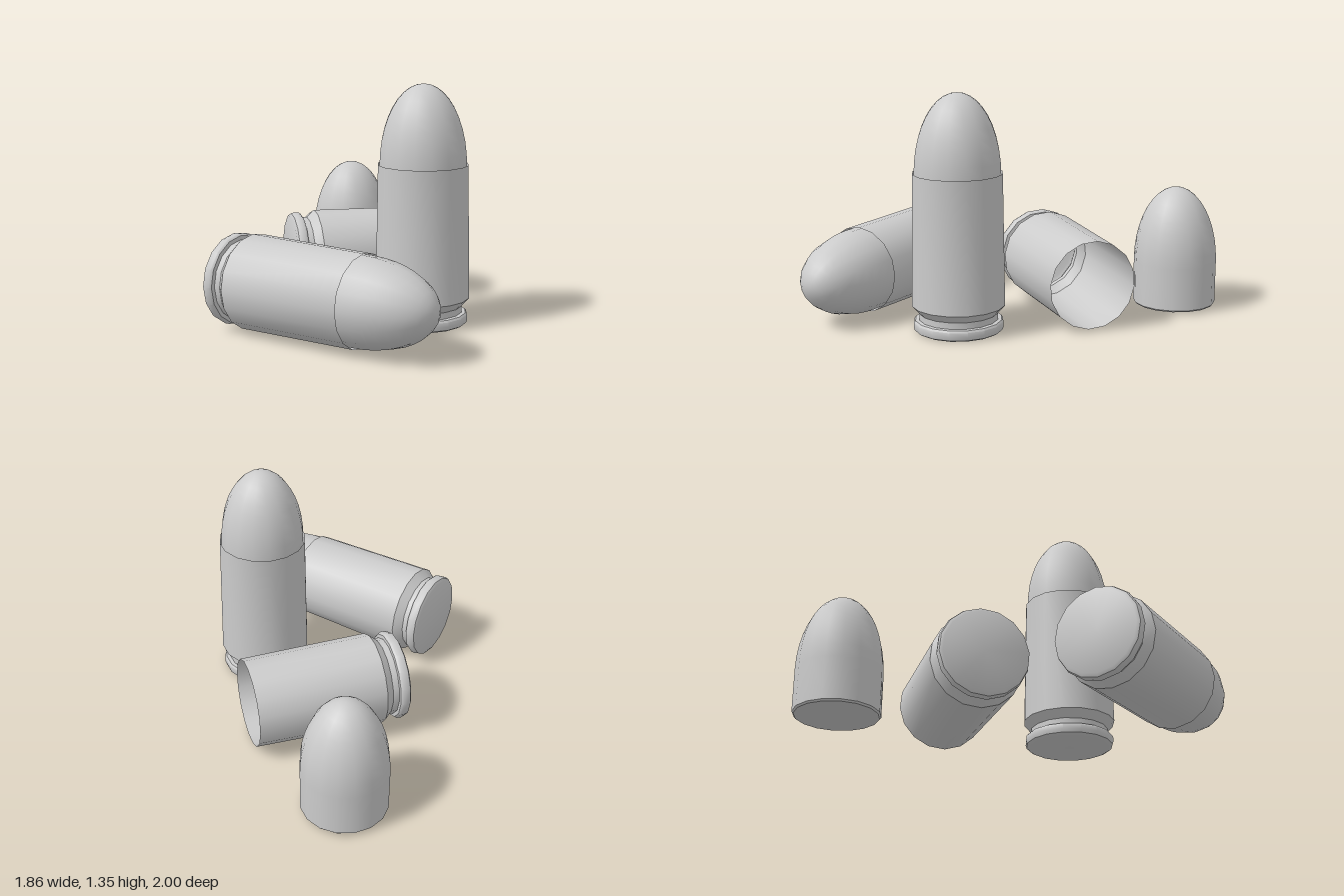
import * as THREE from 'three';
import { toCreasedNormals } from 'three/addons/utils/BufferGeometryUtils.js';

const SIDES = 16;
const CASE_TOP = 0.905;

// Smooth turned part with sharp edges kept
function turned(points) {
  const profile = points.map(([r, y]) => new THREE.Vector2(r, y));
  return toCreasedNormals(new THREE.LatheGeometry(profile, SIDES), 0.6);
}

// Thin open case: base, rounded rim, extractor groove, shoulder, slightly tapered wall
function caseGeometry() {
  return turned([
    [0, 0], [0.235, 0], [0.253, 0.01], [0.259, 0.03], [0.257, 0.055], [0.248, 0.066],
    [0.226, 0.068], [0.226, 0.105], [0.267, 0.152], [0.255, CASE_TOP],
  ]);
}

// Bullet: flat base, short cylinder and a half-ellipse nose
function bulletGeometry() {
  const radius = 0.246, nose = 0.45, height = 0.71, steps = 10;
  const points = [[0, 0], [0.236, 0], [radius - 0.001, 0.01]];
  for (let i = 0; i <= steps; i++) {
    const a = (i / steps) * Math.PI / 2;
    points.push([i === steps ? 0 : radius * Math.cos(a), height - nose + nose * Math.sin(a)]);
  }
  return turned(points);
}

export function createModel() {
  const model = new THREE.Group();
  const metal = new THREE.MeshStandardMaterial({ color: 0xcccccc });
  const thinMetal = new THREE.MeshStandardMaterial({ color: 0xcccccc, side: THREE.DoubleSide });
  const shell = caseGeometry();
  const slug = bulletGeometry();

  const up = new THREE.Vector3(0, 1, 0);
  // Group placed by the centre of its base and the direction of its axis
  function place(name, position, axis, withCase, bulletY) {
    const group = new THREE.Group();
    group.name = name;
    if (withCase) {
      const mesh = new THREE.Mesh(shell, thinMetal);
      mesh.name = 'case';
      group.add(mesh);
    }
    if (bulletY !== null) {
      const mesh = new THREE.Mesh(slug, metal);
      mesh.name = 'bullet';
      mesh.position.y = bulletY;
      group.add(mesh);
    }
    group.position.set(...position);
    group.quaternion.setFromUnitVectors(up, new THREE.Vector3(...axis).normalize());
    model.add(group);
  }

  const seated = 0.642;
  place('standingCartridge', [0.42, 0.003, 0.075], [0, 1, 0], true, seated);
  place('lyingCartridge', [-0.42, 0.272, 0.73], [1, 0, 0], true, seated);
  place('emptyCase', [-0.508, 0.272, 0.105], [0.633, 0, -0.774], true, null);
  place('looseBullet', [-0.685, 0.018, -0.755], [0, 1, 0], false, 0);
  return model;
}
